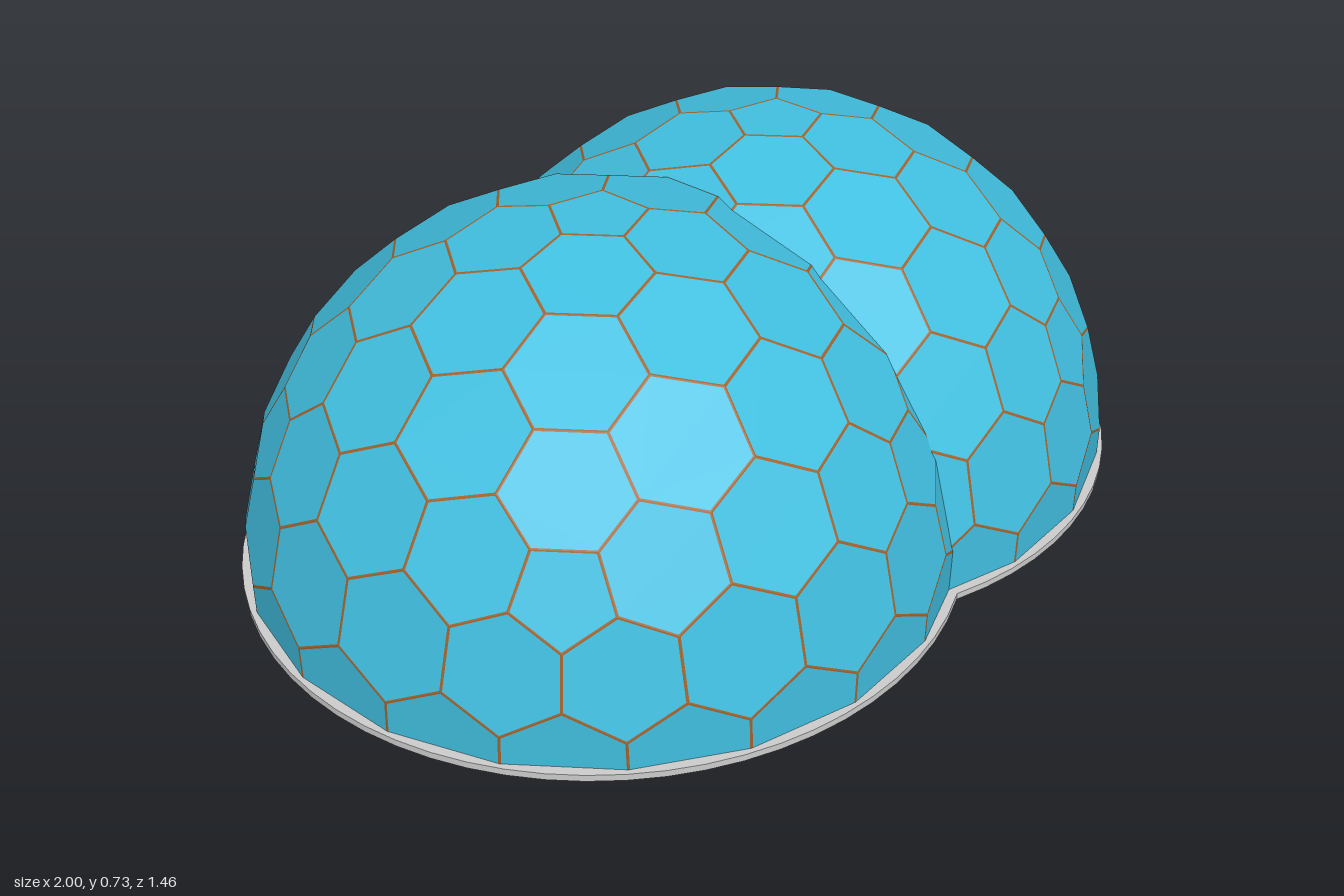
import * as THREE from 'three';

const RADIUS = 0.722;    // dome radius
const OFFSET = 0.27;     // dome centres at x = +-OFFSET
const BASE = 0.014;      // base plate thickness
const SEAM = 0.0028;     // half width of the strips between panels

// Cells of a pentagon/hexagon dome: the dual of a subdivided icosahedron
function domeCells() {
  const ico = new THREE.IcosahedronGeometry(1, 3);
  ico.rotateZ(-Math.atan2(1, (1 + Math.sqrt(5)) / 2)); // a pentagon on top
  const pos = ico.attributes.position;
  const cells = new Map();
  for (let i = 0; i < pos.count; i += 3) {
    const tri = [0, 1, 2].map(k => new THREE.Vector3().fromBufferAttribute(pos, i + k));
    const corner = new THREE.Vector3().add(tri[0]).add(tri[1]).add(tri[2]).setLength(RADIUS);
    for (const p of tri) {
      const key = [p.x, p.y, p.z].map(v => Math.round(v * 1000) + 0).join();
      if (!cells.has(key)) cells.set(key, { axis: p.clone().normalize(), corners: [] });
      cells.get(key).corners.push(corner);
    }
  }
  // Put the corners in order around each cell's axis
  for (const { axis, corners } of cells.values()) {
    const u = corners[0].clone().cross(axis).normalize();
    const v = axis.clone().cross(u);
    const angle = p => Math.atan2(p.dot(v), p.dot(u));
    corners.sort((a, b) => angle(a) - angle(b));
  }
  return [...cells.values()];
}

// Keep the part of a polygon above y = 0
function clipAboveGround(poly) {
  const out = [];
  poly.forEach((a, i) => {
    const b = poly[(i + 1) % poly.length];
    if (a.y >= 0) out.push(a);
    if ((a.y >= 0) !== (b.y >= 0)) out.push(a.clone().lerp(b, a.y / (a.y - b.y)));
  });
  return out;
}

// Collects flat polygons into one geometry
class PolygonSet {
  positions = [];
  normals = [];
  add(poly, normal) {
    const p = clipAboveGround(poly);
    for (let i = 1; i + 1 < p.length; i++) {
      for (const q of [p[0], p[i], p[i + 1]]) {
        this.positions.push(q.x, q.y, q.z);
        this.normals.push(normal.x, normal.y, normal.z);
      }
    }
  }
  geometry() {
    const g = new THREE.BufferGeometry();
    g.setAttribute('position', new THREE.Float32BufferAttribute(this.positions, 3));
    g.setAttribute('normal', new THREE.Float32BufferAttribute(this.normals, 3));
    return g;
  }
}

function material(name, color) {
  const m = new THREE.MeshStandardMaterial({ color });
  m.name = name;
  return m;
}

export function createModel() {
  const blue = material('panelBlue', 0x41bfe0);
  const brown = material('seamBrown', 0xa0622d);
  const grey = material('baseGrey', 0xcccccc);
  blue.side = brown.side = THREE.DoubleSide;

  // Panels, each bordered by a narrow seam strip
  const panels = new PolygonSet();
  const seams = new PolygonSet();
  for (const { corners } of domeCells()) {
    const n = corners.length;
    const centre = new THREE.Vector3();
    const normal = new THREE.Vector3();
    corners.forEach((c, i) => {
      centre.addScaledVector(c, 1 / n);
      normal.add(c.clone().cross(corners[(i + 1) % n]));
    });
    normal.normalize();
    const apothem = corners[0].distanceTo(centre) * Math.cos(Math.PI / n);
    const inner = corners.map(c => c.clone().lerp(centre, SEAM / apothem));
    panels.add(inner, normal);
    for (let i = 0; i < n; i++) {
      const j = (i + 1) % n;
      seams.add([corners[i], corners[j], inner[j], inner[i]], normal);
    }
  }
  const panelGeometry = panels.geometry();
  const seamGeometry = seams.geometry();

  const model = new THREE.Group();
  model.name = 'twinDome';

  // Two identical domes, overlapping in the middle
  for (const [name, side] of [['leftDome', 1], ['rightDome', -1]]) {
    const dome = new THREE.Group();
    dome.name = name;
    const panelMesh = new THREE.Mesh(panelGeometry, blue);
    panelMesh.name = 'panels';
    const seamMesh = new THREE.Mesh(seamGeometry, brown);
    seamMesh.name = 'seams';
    dome.add(panelMesh, seamMesh);
    dome.position.set(side * OFFSET, BASE, 0);
    model.add(dome);
  }

  // Base plate: outline of two merged discs
  const r = 1 - OFFSET;
  const reach = Math.PI - Math.acos(OFFSET / r);
  const outline = new THREE.Shape();
  outline.absarc(OFFSET, 0, r, -reach, reach, false);
  outline.absarc(-OFFSET, 0, r, Math.PI - reach, Math.PI + reach, false);
  const plate = new THREE.ExtrudeGeometry(outline, { depth: BASE, bevelEnabled: false, curveSegments: 20 });
  plate.rotateX(-Math.PI / 2);
  const base = new THREE.Mesh(plate, grey);
  base.name = 'basePlate';
  model.add(base);

  return model;
}
